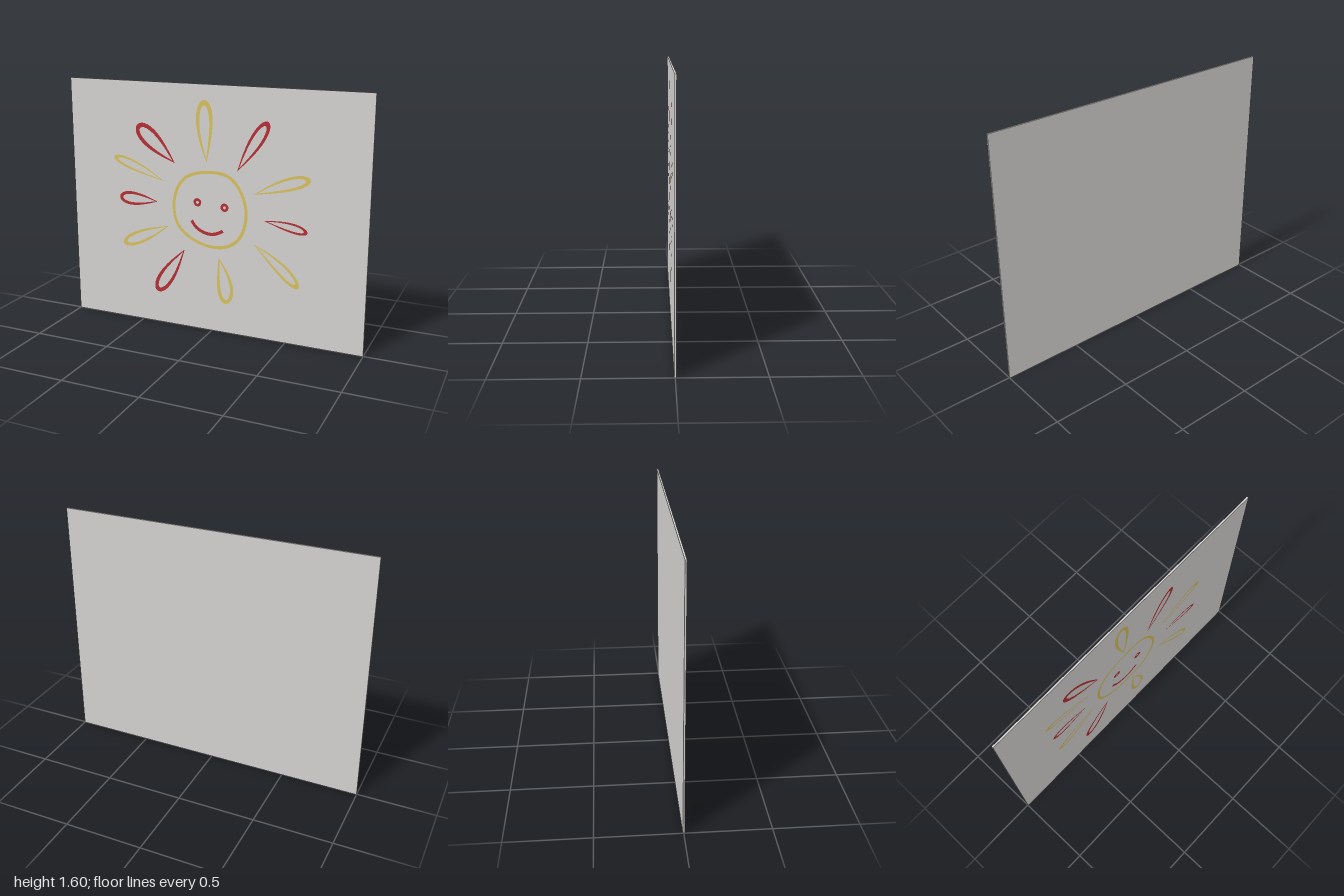
import * as THREE from 'three';

const FRONT = 0.0055;

// smooth line through [x, y] pairs, sampled as Vector2
function smooth(pts, closed, n) {
  const curve = new THREE.CatmullRomCurve3(
    pts.map(([x, y]) => new THREE.Vector3(x, y, 0)), closed, 'centripetal');
  return curve.getPoints(n).map((p) => new THREE.Vector2(p.x, p.y));
}

// closed loop of n points from a rule angle -> Vector2
const loop = (n, rule) => Array.from({ length: n }, (_, i) => rule(i / n * Math.PI * 2));

// flat painted face just in front of the board
function paint(name, material, outer, hole) {
  const shape = new THREE.Shape(outer);
  if (hole) shape.holes.push(new THREE.Path(hole));
  const mesh = new THREE.Mesh(new THREE.ShapeGeometry(shape), material);
  mesh.name = name;
  mesh.position.z = FRONT + 0.001;
  return mesh;
}

// teardrop outline from a sharp tip to a round end, slightly bent sideways
function ray(name, material, tipX, tipY, endX, endY, halfWidth, bend) {
  const tip = new THREE.Vector2(tipX, tipY);
  const along = new THREE.Vector2(endX, endY).sub(tip);
  const across = new THREE.Vector2(-along.y, along.x).normalize();
  const drop = (start, end, w) => loop(48, (a) => {
    const t = start + (end - start) * (1 - Math.cos(a)) / 2;
    const y = w * Math.sin(a) * Math.sin(a / 2) ** 1.2 / 0.74 + bend * 4 * t * (1 - t);
    return tip.clone().addScaledVector(along, t).addScaledVector(across, y);
  });
  return paint(name, material, drop(0, 1, halfWidth), drop(0.06, 0.915, halfWidth * 0.6));
}

// open brush stroke of constant width
function stroke(name, material, pts, width) {
  const line = smooth(pts, false, 24);
  const edge = (s) => line.map((p, i) => {
    const a = line[Math.max(i - 1, 0)], b = line[Math.min(i + 1, line.length - 1)];
    const t = b.clone().sub(a).normalize();
    return new THREE.Vector2(p.x - t.y * s, p.y + t.x * s);
  });
  return paint(name, material, [...edge(width / 2), ...edge(-width / 2).reverse()]);
}

export function createModel() {
  const grey = new THREE.MeshStandardMaterial({ color: 0xd4d2d0 });
  const yellow = new THREE.MeshStandardMaterial({ color: 0xd6c05c });
  const red = new THREE.MeshStandardMaterial({ color: 0xb53036 });
  grey.name = 'boardGrey';
  yellow.name = 'paintYellow';
  red.name = 'paintRed';

  const model = new THREE.Group();
  model.name = 'sunPanel';

  // board
  const board = new THREE.Mesh(new THREE.BoxGeometry(2, 1.596, FRONT * 2), grey);
  board.name = 'board';
  board.position.y = 0.798;
  model.add(board);

  // hand-drawn face ring
  const ring = smooth([[0.01, 1.064], [0.13, 1.037], [0.208, 0.94], [0.241, 0.813],
    [0.208, 0.663], [0.128, 0.583], [0, 0.56], [-0.15, 0.604], [-0.246, 0.69],
    [-0.274, 0.823], [-0.241, 0.947], [-0.166, 1.027]], true, 72).slice(0, -1);
  const centre = new THREE.Vector2(-0.016, 0.812);
  model.add(paint('faceRing', yellow, ring,
    ring.map((p) => p.clone().sub(centre).multiplyScalar(0.922).add(centre))));

  // eyes
  for (const [name, x, y] of [['rightEye', -0.099, 0.853], ['leftEye', 0.086, 0.837]]) {
    const circle = (r) => loop(16, (a) =>
      new THREE.Vector2(x + r * Math.cos(a), y + r * Math.sin(a)));
    model.add(paint(name, red, circle(0.027), circle(0.01)));
  }

  // smile
  model.add(stroke('smile', red, [[-0.14, 0.73], [-0.11, 0.69], [-0.06, 0.662],
    [-0.01, 0.653], [0.035, 0.662], [0.075, 0.684]], 0.021));

  // rays clockwise from the top: tip x, y, end x, y, half width, bend
  const yellowRays = [
    [-0.035, 1.11, -0.05, 1.5, 0.056, 0.006],
    [0.28, 0.94, 0.638, 1.065, 0.042, 0.006],
    [0.28, 0.625, 0.58, 0.375, 0.04, 0.01],
    [0.045, 0.505, 0.1, 0.2, 0.055, 0.013],
    [-0.3, 0.675, -0.638, 0.518, 0.044, 0],
    [-0.335, 0.968, -0.692, 1.1, 0.034, -0.006],
  ];
  const redRays = [
    [0.168, 1.075, 0.367, 1.392, 0.044, 0],
    [0.35, 0.781, 0.627, 0.735, 0.031, 0.005],
    [-0.19, 0.53, -0.395, 0.217, 0.053, 0],
    [-0.38, 0.828, -0.657, 0.835, 0.045, 0],
    [-0.255, 1.092, -0.518, 1.318, 0.062, 0],
  ];
  yellowRays.forEach((r, i) => model.add(ray(`yellowRay${i + 1}`, yellow, ...r)));
  redRays.forEach((r, i) => model.add(ray(`redRay${i + 1}`, red, ...r)));

  return model;
}
